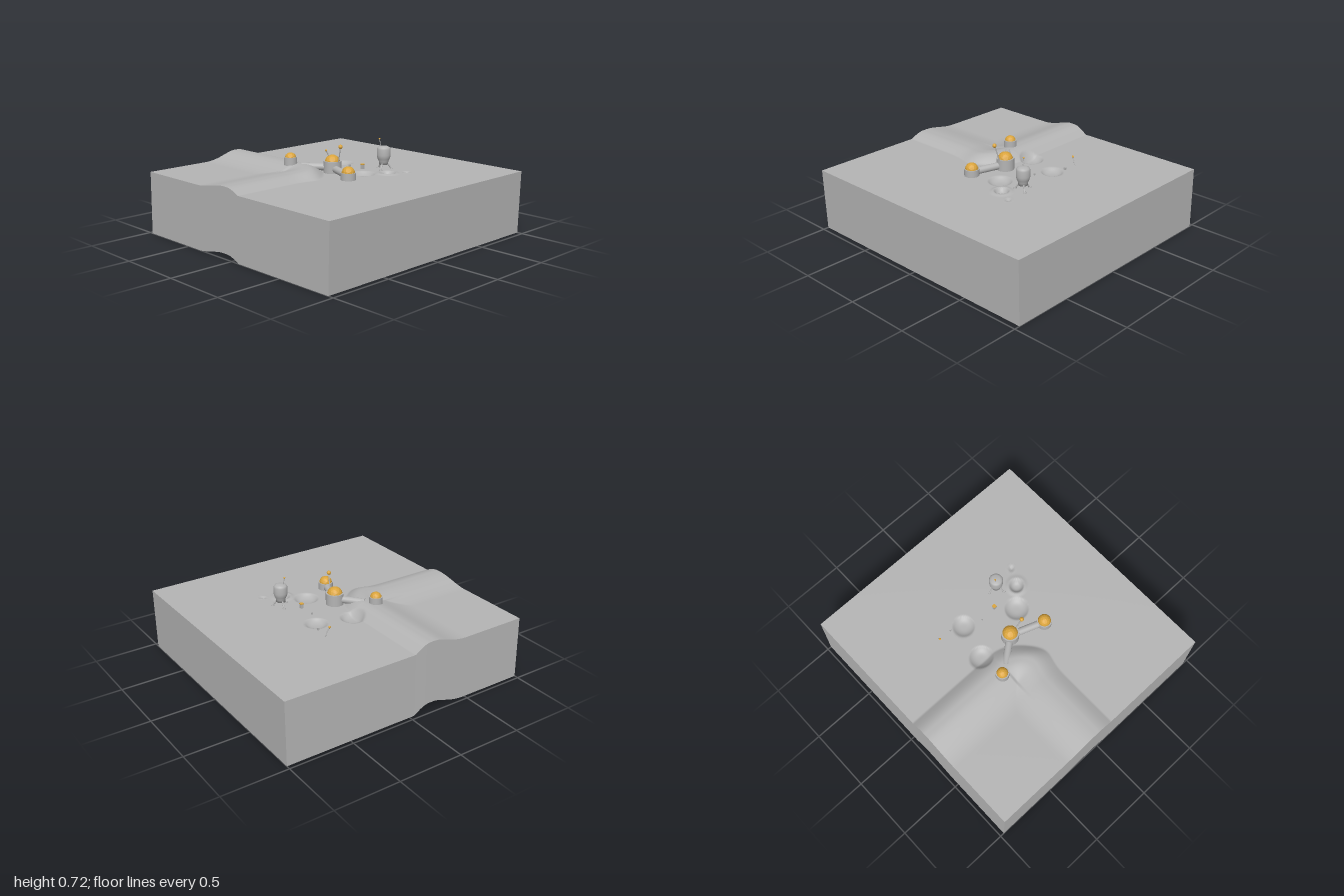
import * as THREE from 'three';

const GROUND = 0.48;
const mat = (name, color) => Object.assign(new THREE.MeshStandardMaterial({ color }), { name });

// Craters: x, z, radius, depth, rim height
const CRATERS = [
  [-0.01, -0.27, 0.09, 0.035, 0],
  [0.26, -0.2, 0.083, 0.03, 0],
  [0.095, 0.185, 0.09, 0.032, 0],
  [0.23, 0.31, 0.055, 0.03, 0.008],
  [0.36, 0.38, 0.024, 0.012, 0.002],
];

// L-shaped ridge: steep outer side, long gentle inner side, rounded corner
function ridge(x, z) {
  const cx = -0.34, cz = -0.22, r = 0.3;
  let d = x > cx && z > cz ? r - Math.hypot(x - cx, z - cz) : Math.min(-0.04 - x, 0.08 - z);
  d += 0.035 * Math.exp(-((x + 0.3) ** 2) / 0.012) * (z > cz ? 1 : 0);
  if (d <= 0 || d >= 0.45) return 0;
  const peak = 0.04 + 0.02 * THREE.MathUtils.smoothstep(x, -0.45, -0.2);
  return peak * (d < 0.13 ? Math.sin((d / 0.13) * Math.PI / 2)
    : 1 - THREE.MathUtils.smoothstep(d, 0.16, 0.45));
}

function relief(x, z) {
  let h = ridge(x, z);
  for (const [cx, cz, r, depth, rim] of CRATERS) {
    const t = Math.hypot(x - cx, z - cz) / r;
    if (t < 1) h += rim - (depth + rim) * (1 - t ** 3);
    else if (t < 1.7) h += rim * (1 - THREE.MathUtils.smoothstep(t, 1.1, 1.7));
  }
  return h;
}

// Grid surface; its front faces along du x dv
function surface(nu, nv, fn) {
  const pos = [], idx = [];
  for (let i = 0; i <= nu; i++) for (let j = 0; j <= nv; j++) pos.push(...fn(i / nu, j / nv));
  for (let i = 0; i < nu; i++) for (let j = 0; j < nv; j++) {
    const a = i * (nv + 1) + j, b = a + nv + 1;
    idx.push(a, b, b + 1, a, b + 1, a + 1);
  }
  const g = new THREE.BufferGeometry();
  g.setAttribute('position', new THREE.Float32BufferAttribute(pos, 3));
  g.setIndex(idx);
  g.computeVertexNormals();
  return g;
}

export function createModel() {
  const model = new THREE.Group();
  const grey = mat('regolithGrey', 0xb4b4b4);
  const gold = mat('gold', 0xdaa43c);

  const add = (name, geo, material, x = 0, y = 0, z = 0, parent = model) => {
    const m = new THREE.Mesh(geo, material);
    m.name = name;
    m.position.set(x, y, z);
    parent.add(m);
    return m;
  };
  const rod = (name, a, b, r, material, parent = model, sides = 12) => {
    const p = new THREE.Vector3(...a), q = new THREE.Vector3(...b);
    const m = add(name, new THREE.CylinderGeometry(r, r, p.distanceTo(q), sides), material, 0, 0, 0, parent);
    m.position.copy(p).add(q).multiplyScalar(0.5);
    m.quaternion.setFromUnitVectors(new THREE.Vector3(0, 1, 0), q.sub(p).normalize());
    return m;
  };

  // Ground slab: grid is finer toward the middle, underside follows the ridge
  const spread = (t) => { const s = 2 * t - 1; return s * (0.55 + 0.45 * s * s); };
  const X = (t) => spread(t);
  const Z = (t) => 0.963 * spread(t);
  const top = (u, v) => [X(u), GROUND + relief(X(u), Z(v)), Z(v) + 0.005];
  const bottom = (u, v) => [X(u), ridge(X(u), Z(v)), Z(v) - 0.006];
  const wall = (u, v, t) => {
    const a = bottom(u, v), b = top(u, v);
    return a.map((n, i) => n + (b[i] - n) * t);
  };
  const N = 150;
  const slab = new THREE.Group();
  slab.name = 'groundSlab';
  model.add(slab);
  const side = (name, geo) => add(name, geo, grey, 0, 0, 0, slab);
  side('terrain', surface(N, N, (a, b) => top(b, a)));
  side('underside', surface(N, N, (a, b) => bottom(a, b)));
  side('frontWall', surface(N, 1, (a, b) => wall(a, 1, b)));
  side('backWall', surface(1, N, (a, b) => wall(b, 0, a)));
  side('leftWall', surface(1, N, (a, b) => wall(1, b, a)));
  side('rightWall', surface(N, 1, (a, b) => wall(0, a, b)));

  // Domed habitats: x, z, radius, base y, rim y, dome top y
  const habitats = [
    [-0.035, 0, 0.067, 0.47, 0.568, 0.614],
    [-0.128, 0.26, 0.056, 0.47, 0.533, 0.578],
    [-0.225, -0.255, 0.05, 0.5, 0.587, 0.621],
  ];
  const goldFacet = gold.clone();
  goldFacet.flatShading = true;
  for (const [x, z, r, y0, y1, y2] of habitats) {
    const h = new THREE.Group();
    h.name = 'habitat';
    model.add(h);
    add('habitatWall', new THREE.CylinderGeometry(r, r, y1 - y0, 32), grey, x, (y0 + y1) / 2, z, h);
    const dr = r * 0.88;
    add('habitatDome', new THREE.IcosahedronGeometry(dr, 2), goldFacet, x, y2 - dr, z, h);
  }

  // Connecting tunnels
  rod('frontTunnel', [-0.035, 0.515, 0], [-0.128, 0.505, 0.26], 0.027, grey, model, 20);
  rod('backTunnel', [-0.035, 0.52, 0], [-0.18, 0.52, -0.18], 0.027, grey, model, 20);

  // Main mast
  rod('mast', [-0.032, 0.55, 0.06], [-0.05, 0.69, 0.1], 0.004, grey);
  add('mastBall', new THREE.IcosahedronGeometry(0.016, 2), goldFacet, -0.05, 0.688, 0.1);

  // Lander: turned body, three splayed legs, whip antenna
  const lander = new THREE.Group();
  lander.name = 'lander';
  lander.position.set(0.32, 0, 0.19);
  model.add(lander);
  const profile = [[0, 0.518], [0.034, 0.518], [0.036, 0.54], [0.045, 0.56], [0.05, 0.575],
    [0.052, 0.59], [0.052, 0.635], [0.045, 0.648], [0.03, 0.656], [0, 0.658]];
  const body = new THREE.LatheGeometry(profile.map((p) => new THREE.Vector2(...p)), 28);
  add('landerBody', body, grey, 0, 0, 0, lander);
  for (let i = 0; i < 3; i++) {
    const a = 0.65 + i * Math.PI * 2 / 3, c = Math.cos(a), s = Math.sin(a);
    rod('landerLeg', [0.028 * c, 0.53, 0.028 * s], [0.06 * c, 0.482, 0.06 * s], 0.006, grey, lander);
    add('landerFoot', new THREE.CylinderGeometry(0.011, 0.013, 0.008, 12), grey, 0.062 * c, 0.484, 0.062 * s, lander);
  }
  rod('landerAntenna', [-0.015, 0.64, -0.012], [-0.02, 0.712, -0.026], 0.0025, grey, lander);
  add('landerAntennaTip', new THREE.IcosahedronGeometry(0.007, 1), goldFacet, -0.02, 0.712, -0.026, lander);

  // Instrument posts on the ground
  add('instrumentPost', new THREE.BoxGeometry(0.022, 0.04, 0.022), grey, 0.213, 0.492, 0.072);
  add('instrumentCap', new THREE.BoxGeometry(0.026, 0.006, 0.026), gold, 0.213, 0.515, 0.072);
  add('smallBox', new THREE.BoxGeometry(0.014, 0.02, 0.014), grey, 0.305, 0.489, -0.288);
  add('smallBox', new THREE.BoxGeometry(0.012, 0.016, 0.012), grey, 0.207, 0.487, -0.058);

  // Leaning beacon at the back
  rod('beaconRod', [0.318, 0.475, -0.392], [0.285, 0.545, -0.402], 0.004, grey);
  add('beaconTip', new THREE.IcosahedronGeometry(0.009, 1), goldFacet, 0.285, 0.546, -0.402);

  return model;
}
